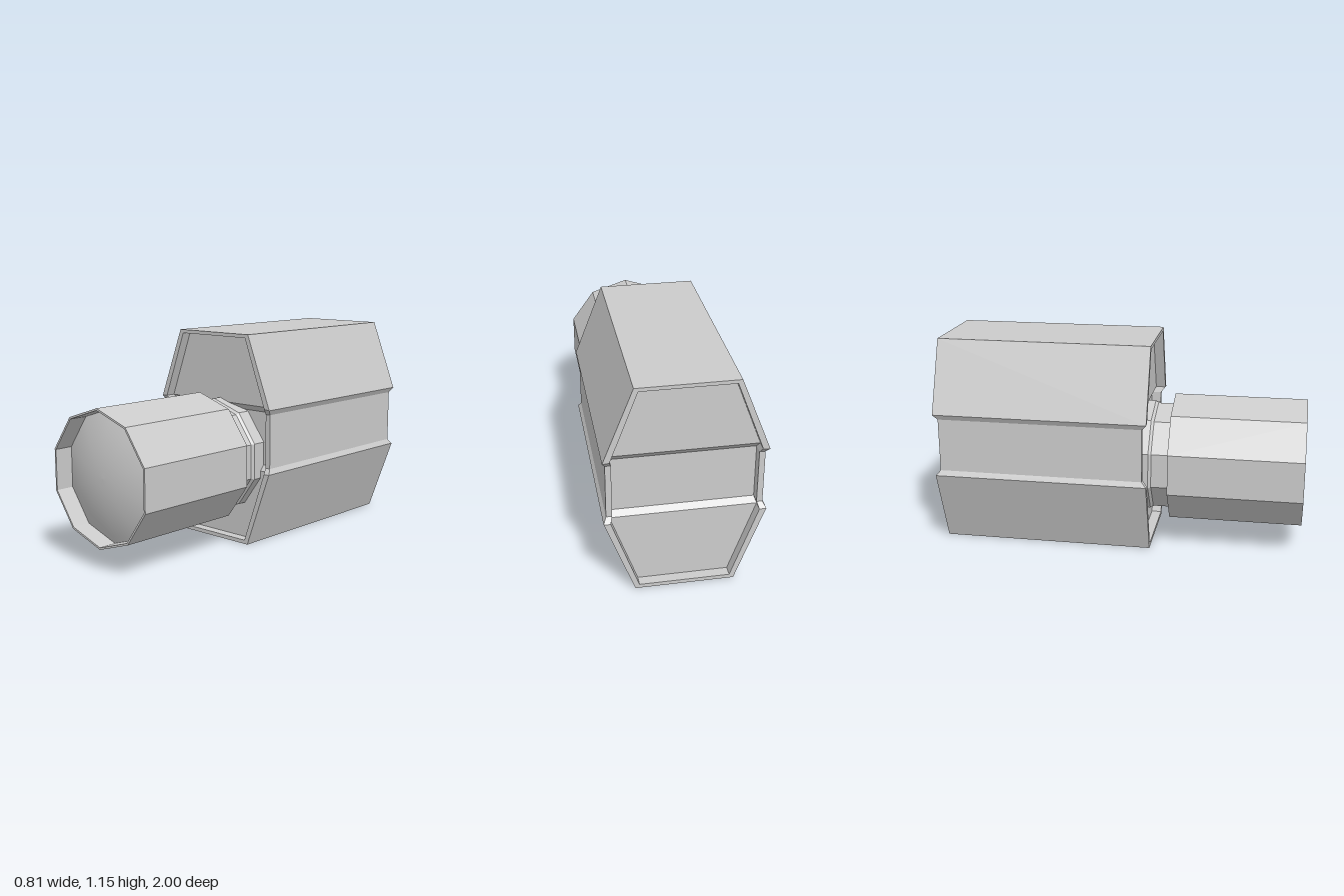
import * as THREE from 'three';

const grey = (opts = {}) => new THREE.MeshStandardMaterial({ color: 0xcccccc, ...opts });

// Housing half sections, bottom to top: [x, y, end setback]; the grooved band is set back at both ends
const OUTER = [[0.253, 0, 0], [0.405, 0.415, 0], [0.39, 0.443, 0.025], [0.39, 0.735, 0.025], [0.405, 0.763, 0], [0.253, 1.153, 0]];
const INNER = [[0.232, 0.021, 0], [0.37, 0.413, 0], [0.36, 0.443, 0.025], [0.36, 0.735, 0.025], [0.37, 0.766, 0], [0.232, 1.134, 0]];
const FRONT = 0.17, BACK = -1, RECESS = 0.055;

function housingGeometry() {
  const pos = [];
  const quad = (a, b, c, d) => [a, b, c, a, c, d].forEach(p => pos.push(...p));
  // Closed loop: up the +x side, down the -x side
  const ring = (half, z, dir) => {
    const right = half.map(([x, y, s]) => [x, y, z + dir * s]);
    const left = right.map(([x, y, zz]) => [-x, y, zz]).reverse();
    return [...right, ...left];
  };
  const rings = [
    ring(INNER, BACK + RECESS, 1), ring(INNER, BACK, 1), ring(OUTER, BACK, 1),
    ring(OUTER, FRONT, -1), ring(INNER, FRONT, -1), ring(INNER, FRONT - RECESS, -1),
  ];
  const n = rings[0].length;
  for (let r = 0; r < rings.length - 1; r++) {
    for (let i = 0; i < n; i++) {
      const j = (i + 1) % n;
      quad(rings[r][i], rings[r][j], rings[r + 1][j], rings[r + 1][i]);
    }
  }
  // Recessed end panels, folded at the band
  const f = rings[5], b = rings[0];
  for (let i = 0; i < INNER.length - 1; i++) {
    quad(f[i], f[i + 1], f[n - 2 - i], f[n - 1 - i]);
    quad(b[n - 1 - i], b[n - 2 - i], b[i + 1], b[i]);
  }
  const g = new THREE.BufferGeometry();
  g.setAttribute('position', new THREE.Float32BufferAttribute(pos, 3));
  g.computeVertexNormals();
  return g;
}

// Ten-sided turned part along z; profile is [radius, z] from back to front
function turned(name, profile, material) {
  const g = new THREE.LatheGeometry(profile.map(p => new THREE.Vector2(...p)), 10);
  g.rotateX(Math.PI / 2);
  const mesh = new THREE.Mesh(g, material);
  mesh.name = name;
  mesh.position.y = 0.472;
  return mesh;
}

export function createModel() {
  const model = new THREE.Group();
  model.name = 'lensUnit';

  const housing = new THREE.Mesh(housingGeometry(), grey({ flatShading: true }));
  housing.name = 'housing';
  model.add(housing);

  // Neck with a small flare where it meets the housing
  model.add(turned('neck', [[0.315, 0.085], [0.315, 0.165], [0.303, 0.18], [0.303, 0.28]], grey({ flatShading: true })));

  // Barrel with a thin rim and recessed front
  model.add(turned('barrel', [[0, 0.275], [0.361, 0.275], [0.361, 1], [0.35, 1], [0.35, 0.9]], grey({ flatShading: true })));

  // Smooth domed lens
  const dome = [];
  for (let i = 0; i <= 8; i++) {
    const r = 0.35 * (1 - i / 8);
    dome.push([r, 0.9 + 0.07 * (1 - (r / 0.35) ** 2)]);
  }
  model.add(turned('lens', dome, grey()));

  return model;
}
